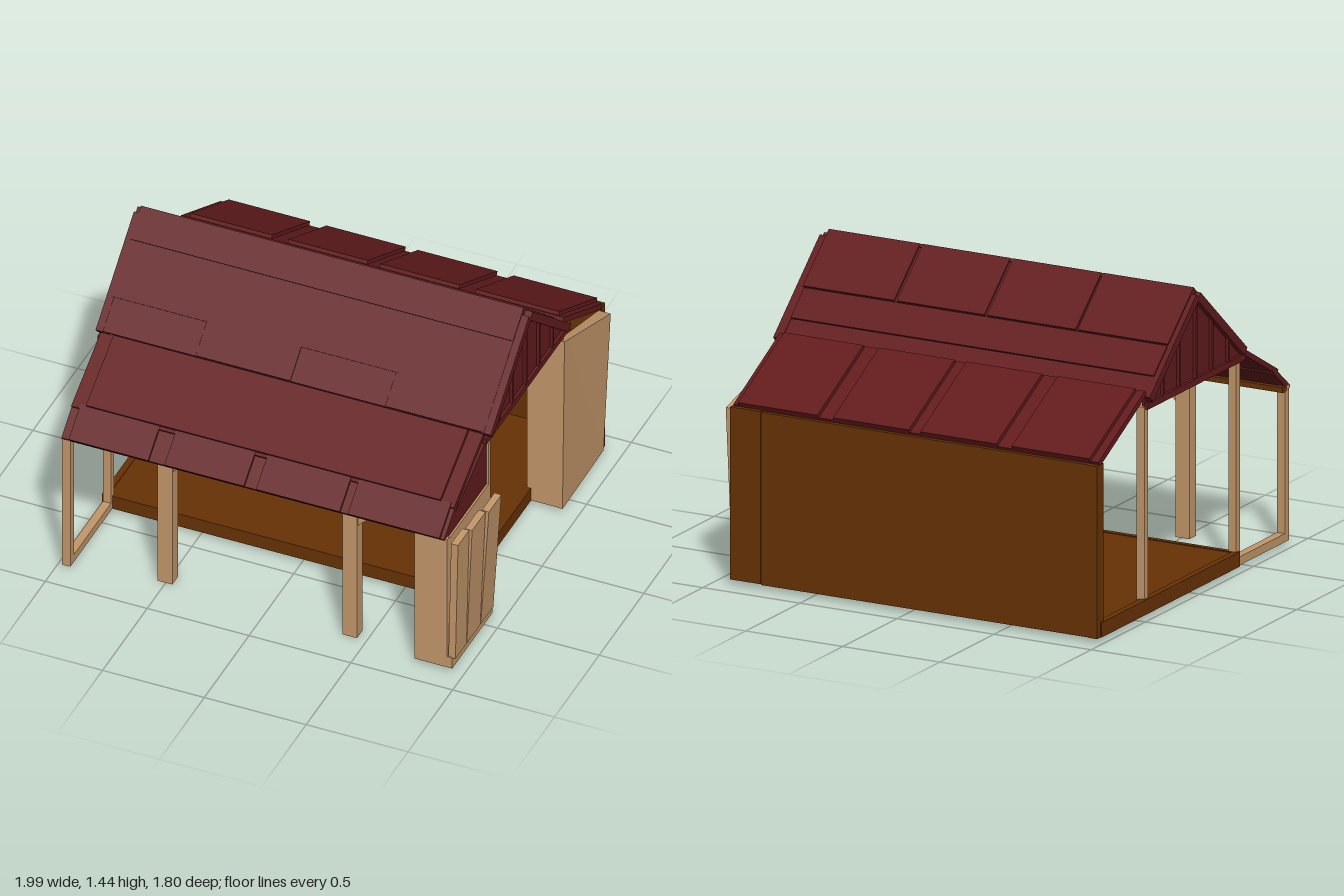
import * as THREE from 'three';

export function createModel() {
  const model = new THREE.Group();
  const mat = (name, color) => {
    const m = new THREE.MeshStandardMaterial({ color });
    m.name = name;
    return m;
  };
  const red = mat('roofRed', 0x621b1c);
  const tan = mat('paleTimber', 0xc4986a);
  const brown = mat('darkTimber', 0x683205);

  const add = (name, geo, material) => {
    const mesh = new THREE.Mesh(geo, material);
    mesh.name = name;
    model.add(mesh);
    return mesh;
  };
  // Box given by its limits on each axis
  const block = (name, m, x0, x1, y0, y1, z0, z1) => {
    const mesh = add(name, new THREE.BoxGeometry(x1 - x0, y1 - y0, z1 - z0), m);
    mesh.position.set((x0 + x1) / 2, (y0 + y1) / 2, (z0 + z1) / 2);
    return mesh;
  };
  // Sloping board: upper face runs from (za, ya) to (zb, yb), with za < zb
  const board = (name, x0, x1, za, ya, zb, yb, t) => {
    const dz = zb - za, dy = yb - ya, len = Math.hypot(dz, dy);
    const mesh = add(name, new THREE.BoxGeometry(x1 - x0, t, len), red);
    mesh.rotation.x = Math.atan2(-dy, dz);
    mesh.position.set((x0 + x1) / 2, (ya + yb) / 2 - (dz / len) * t / 2, (za + zb) / 2 + (dy / len) * t / 2);
  };
  // Upright panel outlined by [z, y] points, spanning x0..x1
  const panel = (name, m, pts, x0, x1) => {
    const shape = new THREE.Shape(pts.map(([z, y]) => new THREE.Vector2(z, y)));
    const geo = new THREE.ExtrudeGeometry(shape, { depth: x1 - x0, bevelEnabled: false });
    geo.rotateY(-Math.PI / 2);
    geo.translate(x1, 0, 0);
    return add(name, geo, m);
  };

  // Floor deck on a hollow rim, stopping short of the closed corners
  block('floorDeck', brown, -0.96, 0.76, 0.068, 0.086, -0.87, 0.4);
  block('floorRimFront', brown, -0.98, 0.77, 0.02, 0.09, 0.385, 0.41);
  block('floorRimLeft', brown, 0.745, 0.77, 0.02, 0.09, -0.87, 0.4);
  block('floorRimRight', brown, -0.98, -0.95, 0.02, 0.09, -0.87, 0.4);
  block('cornerFloor', brown, 0.77, 0.9, 0.024, 0.04, -0.87, -0.42);

  // Back wall, corner return board and end post
  block('backWall', brown, -0.97, 0.76, 0.02, 0.83, -0.895, -0.87);
  block('backCornerBoard', brown, 0.76, 0.915, 0.025, 0.835, -0.9, -0.86);
  block('backCornerPost', brown, -0.975, -0.93, 0.02, 0.83, -0.9, -0.84);

  // Open end: posts and sill
  block('endPost', tan, -0.97, -0.93, 0.02, 0.75, 0.84, 0.88);
  block('endPost', tan, -0.97, -0.93, 0.02, 0.99, 0.39, 0.425);
  block('endPost', tan, -0.97, -0.93, 0.085, 0.99, -0.455, -0.42);
  block('endSill', tan, -0.97, -0.93, 0.02, 0.06, 0.41, 0.88);

  // Porch posts with corner braces
  for (const [x, z] of [[-0.54, 0.73], [0.38, 0.76]]) {
    block('porchPost', tan, x, x + 0.072, 0, 0.77, z, z + 0.062);
    const s = new THREE.Shape([[0, 0.63], [0.09, 0.72], [0, 0.72]].map(p => new THREE.Vector2(...p)));
    const geo = new THREE.ExtrudeGeometry(s, { depth: 0.04, bevelEnabled: false });
    geo.translate(x + 0.072, 0, z + 0.01);
    add('postBrace', geo, tan);
  }
  block('porchBeam', brown, -0.97, 0.9, 0.725, 0.75, 0.82, 0.86);

  // Front closed corner: boards, side wall, leaning planks
  block('cornerBoardFront', tan, 0.76, 0.92, 0.02, 0.74, 0.855, 0.88);
  block('cornerBoardInner', tan, 0.75, 0.92, 0.02, 0.96, 0.395, 0.415);
  block('cornerSideWall', tan, 0.895, 0.92, 0.02, 0.73, 0.41, 0.86);
  block('cornerSill', tan, 0.87, 0.945, 0.02, 0.08, 0.43, 0.88);
  [[0.452, 0.592, 0.982], [0.598, 0.748, 0.968], [0.752, 0.876, 0.955]].forEach(([z0, z1, top]) => {
    const plank = block('sidePlank', tan, -0.017, 0.017, 0.075, 0.722, z0, z1);
    plank.position.x = (0.942 + top) / 2;
    plank.rotation.z = -Math.atan2(top - 0.942, 0.65);
  });
  panel('cornerGable', red, [[0.41, 0.73], [0.87, 0.73], [0.79, 0.8], [0.41, 0.985]], 0.89, 0.91);

  // Back closed corner: the top rear tip of the side wall flares outward
  const sideWall = panel('backSideWall', tan,
    [[-0.86, 0.03], [-0.4, 0.02], [-0.4, 0.97], [-0.45, 0.95], [-0.86, 0.815]], 0.9, 0.925);
  const pos = sideWall.geometry.attributes.position;
  for (let i = 0; i < pos.count; i++) {
    if (pos.getX(i) > 0.91 && pos.getY(i) > 0.6) pos.setX(i, pos.getZ(i) < -0.8 ? 0.96 : 0.935);
  }
  sideWall.geometry.computeVertexNormals();
  block('backEdgeBoard', tan, 0.75, 0.92, 0.022, 0.97, -0.425, -0.4);

  // Gable ends with battens, bottom rail and rake boards
  for (const [x, s] of [[0.9, 1], [-0.96, -1]]) {
    panel('gable', red, [[-0.44, 0.98], [0.44, 0.98], [0.44, 1.02], [0, 1.41], [-0.44, 1.02]], x - 0.01, x + 0.01);
    const lo = x + (s > 0 ? 0.005 : -0.025), hi = lo + 0.02;
    for (const z of [-0.3, -0.15, 0, 0.15, 0.3]) {
      block('gableBatten', red, lo, hi, 0.98, 1.385 - Math.abs(z) * 0.88, z - 0.007, z + 0.007);
    }
    block('gableRail', red, lo, hi, 0.98, 1.01, -0.45, 0.45);
    const r0 = s > 0 ? 0.9 : -0.995, r1 = s > 0 ? 0.945 : -0.96;
    board('rake', r0, r1, 0.02, 1.41, 0.45, 1.04, 0.04);
    board('rake', r0, r1, -0.45, 1.04, -0.02, 1.41, 0.04);
  }

  // Main roof slopes
  board('mainRoofFront', -0.97, 0.91, 0, 1.425, 0.445, 1.04, 0.032);
  board('mainRoofBack', -0.97, 0.91, -0.445, 1.04, 0, 1.425, 0.032);
  board('frontCourse', -0.97, 0.91, 0, 1.435, 0.12, 1.331, 0.015);
  board('frontCourse', -0.97, 0.91, 0.12, 1.328, 0.325, 1.15, 0.015);
  board('backStrip', -0.97, 0.9, -0.37, 1.118, -0.245, 1.226, 0.03);
  [[-0.97, -0.505], [-0.495, -0.04], [-0.025, 0.425], [0.44, 0.91]].forEach(([a, b], i) => {
    const lift = (i % 2) * 0.004;
    board('frontTile', a, b, 0.325, 1.146 + lift, 0.447, 1.04 + lift, 0.025);
    board('backUpperTile', a, b, -0.24, 1.232, 0, 1.436, 0.02);
  });

  // Porch roof
  board('porchRoof', -0.97, 0.91, 0.45, 1.035, 0.78, 0.848, 0.025);
  board('porchRoofEdge', -0.97, 0.91, 0.75, 0.858, 0.89, 0.745, 0.025);
  board('porchCourse', -0.9, 0.84, 0.465, 1.05, 0.775, 0.87, 0.025);
  for (const [a, b] of [[-0.93, -0.54], [-0.46, -0.07], [-0.01, 0.4], [0.44, 0.89]]) {
    board('porchEaveTile', a, b, 0.765, 0.862, 0.9, 0.755, 0.02);
  }

  // Rear lower roof
  board('rearRoof', -0.97, 0.91, -0.88, 0.843, -0.45, 1.066, 0.028);
  for (const [a, b] of [[-0.93, -0.53], [-0.45, -0.06], [0, 0.39], [0.47, 0.88]]) {
    board('rearTile', a, b, -0.892, 0.858, -0.468, 1.077, 0.022);
  }
  return model;
}
